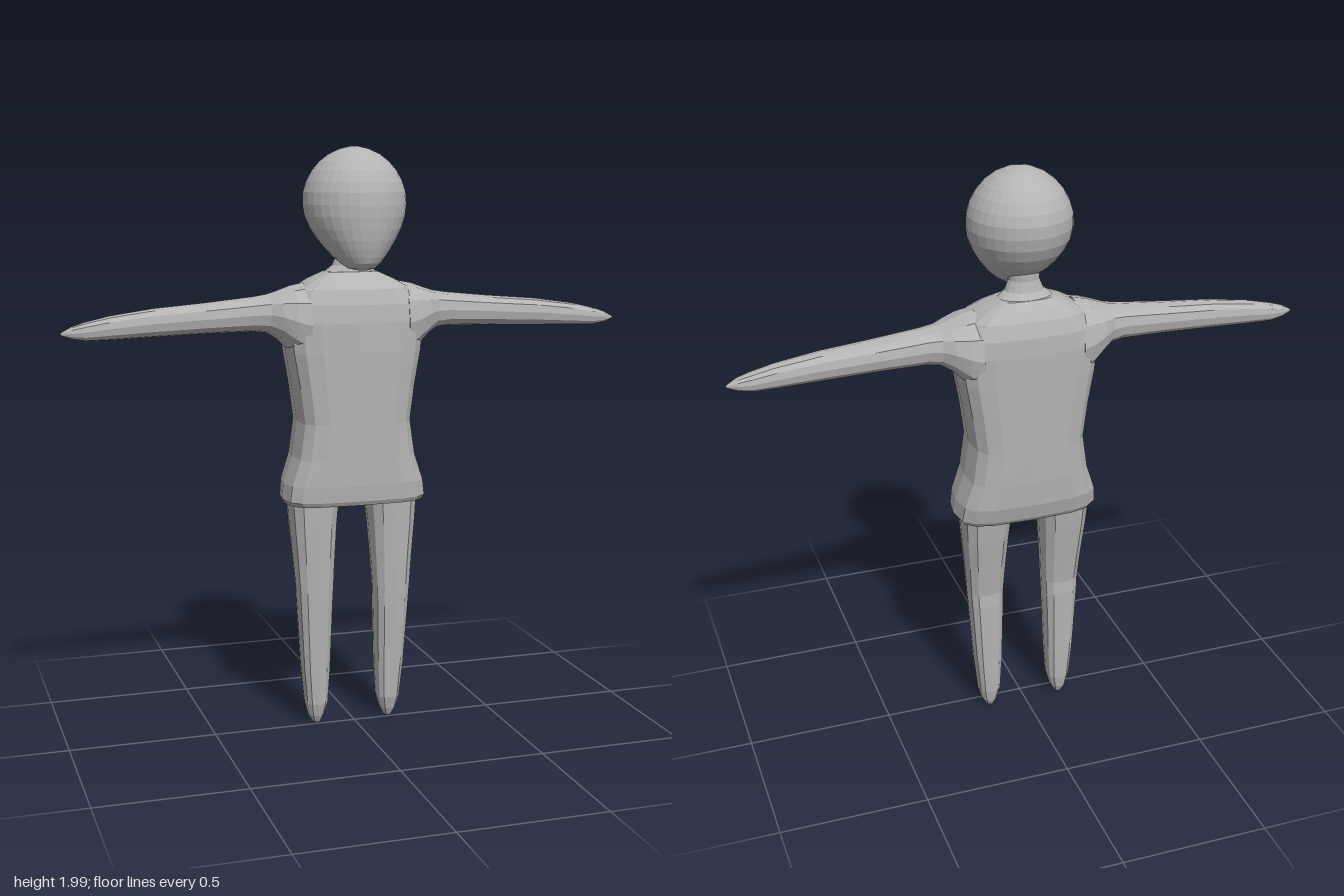
import * as THREE from 'three';

// Loft of closed rings stacked up the y axis: [y, xMin, xMax, zMin, zMax]; n sets the squareness.
function loft(rings, sides, n = 2) {
  const pos = [], index = [];
  const soft = (v) => Math.sign(v) * Math.pow(Math.abs(v), 2 / n);
  for (const [y, x0, x1, z0, z1] of rings) {
    for (let i = 0; i < sides; i++) {
      const a = (i / sides) * Math.PI * 2;
      pos.push((x0 + x1) / 2 + ((x1 - x0) / 2) * soft(Math.cos(a)), y,
        (z0 + z1) / 2 + ((z1 - z0) / 2) * soft(Math.sin(a)));
    }
  }
  for (let r = 0; r < rings.length - 1; r++) {
    for (let i = 0; i < sides; i++) {
      const a = r * sides + i, b = r * sides + ((i + 1) % sides);
      index.push(a, a + sides, b, b, a + sides, b + sides);
    }
  }
  // End caps
  const top = (rings.length - 1) * sides;
  for (let i = 1; i < sides - 1; i++) {
    index.push(0, i, i + 1, top, top + i + 1, top + i);
  }
  const geo = new THREE.BufferGeometry();
  geo.setAttribute('position', new THREE.Float32BufferAttribute(pos, 3));
  geo.setIndex(index);
  return geo;
}

export function createModel() {
  const group = new THREE.Group();
  const grey = new THREE.MeshStandardMaterial({ color: 0xb4b4b4, flatShading: true });
  grey.name = 'plain grey';

  const add = (name, geo) => {
    const flat = geo.toNonIndexed();
    flat.computeVertexNormals();
    const mesh = new THREE.Mesh(flat, grey);
    mesh.name = name;
    group.add(mesh);
  };
  const sym = ([y, w, z0, z1]) => [y, -w, w, z0, z1];

  // Egg-shaped head, chin pushed forward: [y, half width, back, front]
  const head = [
    [1.596, 0.02, 0.06, 0.11], [1.602, 0.045, 0.025, 0.13], [1.62, 0.068, -0.01, 0.145],
    [1.64, 0.088, -0.045, 0.153], [1.665, 0.109, -0.082, 0.16], [1.695, 0.131, -0.116, 0.166],
    [1.73, 0.152, -0.143, 0.17], [1.77, 0.168, -0.163, 0.173], [1.81, 0.174, -0.172, 0.173],
    [1.85, 0.172, -0.172, 0.169], [1.885, 0.161, -0.162, 0.158], [1.92, 0.142, -0.143, 0.139],
    [1.95, 0.117, -0.118, 0.114], [1.975, 0.085, -0.086, 0.082], [1.992, 0.047, -0.048, 0.046],
    [2.0, 0.012, -0.012, 0.012],
  ];
  add('head', loft(head.map(sym), 32));

  // Neck
  add('neck', loft([
    [1.54, 0.14, -0.14, 0.04], [1.58, 0.098, -0.112, 0.012], [1.605, 0.066, -0.092, 0.004],
    [1.64, 0.052, -0.083, 0.004], [1.7, 0.06, -0.085, 0.03],
  ].map(sym), 16));

  // Shirt body, starting inside the hem
  add('torso', loft([
    [0.83, 0.1, -0.08, 0.03], [0.803, 0.225, -0.135, 0.08], [0.8, 0.24, -0.142, 0.088],
    [0.815, 0.25, -0.152, 0.096], [0.87, 0.243, -0.167, 0.101], [0.96, 0.212, -0.173, 0.102],
    [1.08, 0.194, -0.175, 0.102], [1.2, 0.21, -0.175, 0.102], [1.32, 0.232, -0.175, 0.102],
    [1.42, 0.24, -0.175, 0.1], [1.48, 0.225, -0.172, 0.093], [1.53, 0.195, -0.156, 0.075],
    [1.56, 0.145, -0.135, 0.045], [1.585, 0.09, -0.11, 0.012],
  ].map(sym), 16, 3.6));

  // Arm sections from shoulder to pointed tip: [x, bottom, top, back, front]
  const arm = [
    [0.17, 1.28, 1.55, -0.165, 0.09], [0.215, 1.315, 1.541, -0.16, 0.083],
    [0.26, 1.362, 1.525, -0.14, 0.062], [0.295, 1.384, 1.514, -0.114, 0.035],
    [0.34, 1.39, 1.507, -0.102, 0.025], [0.5, 1.388, 1.491, -0.094, 0.016],
    [0.68, 1.382, 1.476, -0.086, 0.006], [0.82, 1.377, 1.456, -0.078, -0.003],
    [0.9, 1.376, 1.438, -0.072, -0.01], [0.945, 1.384, 1.424, -0.062, -0.018],
    [0.98, 1.397, 1.405, -0.044, -0.036],
  ];
  // Leg sections from pointed foot to hip: [y, inner x, outer x, back, front]
  const leg = [
    [0.008, 0.118, 0.145, -0.058, -0.012], [0.035, 0.105, 0.16, -0.072, 0.002],
    [0.08, 0.092, 0.172, -0.08, 0.014], [0.2, 0.084, 0.185, -0.084, 0.022],
    [0.44, 0.076, 0.201, -0.085, 0.037], [0.49, 0.074, 0.204, -0.082, 0.04],
    [0.6, 0.068, 0.212, -0.098, 0.045], [0.72, 0.06, 0.223, -0.117, 0.05],
    [0.84, 0.048, 0.232, -0.133, 0.054],
  ];
  for (const s of [1, -1]) {
    const side = s > 0 ? 'left' : 'right';
    const armRings = arm.map(([x, lo, hi, z0, z1]) => (s > 0 ? [x, -hi, -lo, z0, z1] : [x, lo, hi, z0, z1]));
    add(side + 'Arm', loft(armRings, 12, 2.3).rotateZ((-s * Math.PI) / 2));
    const legRings = leg.map(([y, a, b, z0, z1]) => (s > 0 ? [y, a, b, z0, z1] : [y, -b, -a, z0, z1]));
    add(side + 'Leg', loft(legRings, 12, 2.6));
  }
  return group;
}
